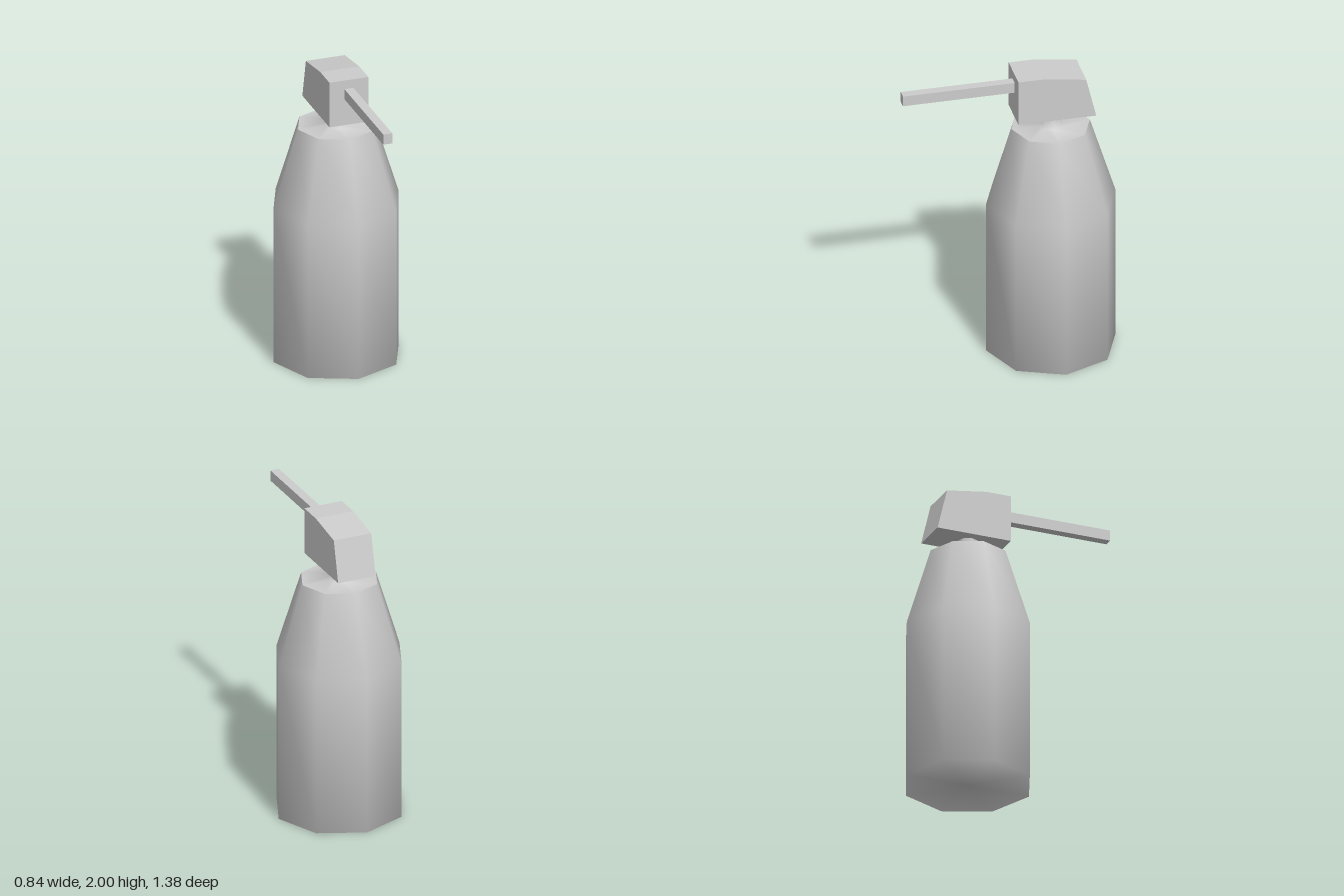
import * as THREE from 'three';

const AXIS_Z = -0.27; // bottle axis
const SIDES = 8;

export function createModel() {
  const group = new THREE.Group();
  const grey = new THREE.MeshStandardMaterial({ color: 0xcccccc });
  grey.name = 'light grey';

  const add = (name, geometry, x = 0, y = 0, z = 0) => {
    const mesh = new THREE.Mesh(geometry, grey);
    mesh.name = name;
    mesh.position.set(x, y, z);
    group.add(mesh);
  };
  const lathe = (points) =>
    new THREE.LatheGeometry(points.map(([r, y]) => new THREE.Vector2(r, y)), SIDES);

  // Octagonal bottle with softly shaded sides and a closed base
  add('bottle', lathe([[0, 0], [0.42, 0], [0.42, 1.06], [0.255, 1.59]]), 0, 0, AXIS_Z);

  // Flat bottle top running into the thin pump neck
  add('topAndNeck', lathe([[0.255, 1.59], [0.07, 1.59], [0.07, 1.7]]), 0, 0, AXIS_Z);

  // Pump head: side profile as (z, y), extruded across x
  const profile = [[-0.03, 1.69], [-0.03, 2], [-0.2, 2], [-0.47, 1.96], [-0.535, 1.69]];
  const shape = new THREE.Shape(profile.map(([z, y]) => new THREE.Vector2(z, y)));
  const head = new THREE.ExtrudeGeometry(shape, { depth: 0.26, bevelEnabled: false });
  head.rotateY(-Math.PI / 2);
  add('pumpHead', head, 0.13);

  // Long square spout
  add('spout', new THREE.BoxGeometry(0.06, 0.07, 0.73), 0, 1.905, 0.33);

  return group;
}
